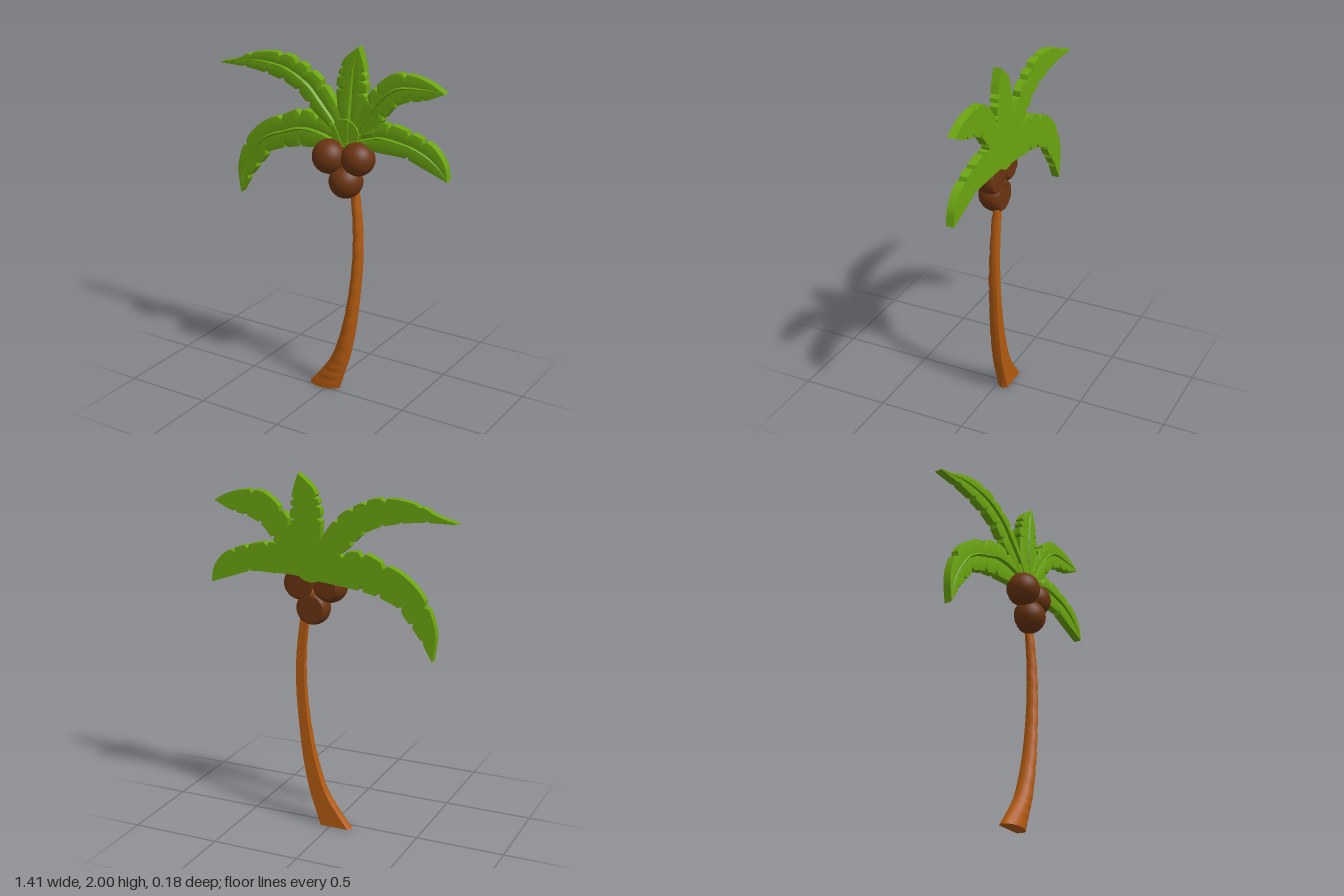
import * as THREE from 'three';
import { toCreasedNormals } from 'three/addons/utils/BufferGeometryUtils.js';

const mat = (name, color) => {
  const m = new THREE.MeshStandardMaterial({ color });
  m.name = name;
  return m;
};

// Closed skin over equal-length rings of [x, y, z], capped at both ends
function loft(rings, crease) {
  const n = rings[0].length, pos = rings.flat(2), idx = [];
  for (let i = 0; i < rings.length - 1; i++) {
    for (let j = 0; j < n; j++) {
      const a = i * n + j, b = i * n + (j + 1) % n;
      idx.push(a, b, b + n, a, b + n, a + n);
    }
  }
  const last = (rings.length - 1) * n;
  for (let j = 1; j < n - 1; j++) idx.push(0, j + 1, j, last, last + j, last + j + 1);
  // Turn the skin outward if its signed volume is negative
  const v = (i) => new THREE.Vector3().fromArray(pos, i * 3);
  let volume = 0;
  for (let i = 0; i < idx.length; i += 3) volume += v(idx[i]).dot(v(idx[i + 1]).cross(v(idx[i + 2])));
  if (volume < 0) idx.reverse();
  const g = new THREE.BufferGeometry();
  g.setAttribute('position', new THREE.Float32BufferAttribute(pos, 3));
  g.setIndex(idx);
  return toCreasedNormals(g, crease);
}

const curve = (pts) => new THREE.CatmullRomCurve3(pts.map(([x, y]) => new THREE.Vector3(x, y, 0)), false, 'centripetal');

// Flat-backed frond between two edges (base to tip), with torn notches and a raised midrib
function frondGeometry(upper, lower, upperNotches, lowerNotches) {
  const N = 50, up = curve(upper), low = curve(lower), rings = [];
  for (let i = 0; i <= N; i++) {
    const t = i / N, u = up.getPointAt(t), l = low.getPointAt(t);
    const mid = u.clone().lerp(l, 0.5);
    if (upperNotches.includes(i)) u.lerp(mid, 0.28);
    if (lowerNotches.includes(i)) l.lerp(mid, 0.28);
    const fade = 1 - t * t;
    const at = (p, k, z) => [mid.x + (p.x - mid.x) * k, mid.y + (p.y - mid.y) * k, z];
    rings.push([
      at(u, 1, -0.088), at(u, 1, -0.043), at(u, 0.55, -0.043 + 0.01 * fade), at(u, 0.1, -0.043 + 0.004 * fade),
      at(u, 0, -0.043 + 0.02 * fade),
      at(l, 0.1, -0.043 + 0.004 * fade), at(l, 0.55, -0.043 + 0.01 * fade), at(l, 1, -0.043), at(l, 1, -0.088),
    ]);
  }
  return loft(rings, 0.6);
}

const FRONDS = {
  upperRightFrond: [
    [[0.125, 1.45], [0.08, 1.6], [0.025, 1.69], [-0.055, 1.79], [-0.15, 1.855], [-0.26, 1.9], [-0.39, 1.905], [-0.52, 1.88], [-0.6, 1.84], [-0.71, 1.81]],
    [[0.06, 1.45], [0, 1.53], [-0.125, 1.635], [-0.19, 1.7], [-0.28, 1.75], [-0.415, 1.785], [-0.53, 1.8], [-0.71, 1.805]],
    [17, 22, 26, 31, 40], [16, 21, 27, 33, 41]],
  lowerRightFrond: [
    [[0.125, 1.47], [0.03, 1.54], [-0.09, 1.6], [-0.2, 1.61], [-0.32, 1.56], [-0.415, 1.52], [-0.52, 1.43], [-0.585, 1.315], [-0.61, 1.21], [-0.595, 1.065]],
    [[0.1, 1.435], [-0.1, 1.415], [-0.255, 1.39], [-0.4, 1.335], [-0.44, 1.285], [-0.525, 1.18], [-0.595, 1.065]],
    [11, 16, 22, 36], [17, 23, 31, 37, 43]],
  topFrond: [
    [[0.085, 1.47], [0.045, 1.68], [0.045, 1.82], [0.085, 1.925], [0.172, 2]],
    [[0.155, 1.46], [0.19, 1.6], [0.22, 1.765], [0.205, 1.895], [0.172, 2]],
    [26, 32, 36], [27, 33, 37]],
  upperLeftFrond: [
    [[0.1, 1.47], [0.165, 1.63], [0.23, 1.75], [0.3, 1.83], [0.38, 1.885], [0.485, 1.89], [0.59, 1.865], [0.675, 1.82]],
    [[0.14, 1.445], [0.245, 1.54], [0.31, 1.615], [0.38, 1.7], [0.46, 1.745], [0.565, 1.77], [0.675, 1.82]],
    [18, 23, 35], [20, 28, 35, 40]],
  lowerLeftFrond: [
    [[0.1, 1.51], [0.235, 1.57], [0.325, 1.615], [0.46, 1.595], [0.555, 1.565], [0.63, 1.525], [0.69, 1.445], [0.705, 1.36]],
    [[0.09, 1.43], [0.19, 1.45], [0.325, 1.45], [0.46, 1.445], [0.565, 1.41], [0.705, 1.36]],
    [13, 19, 27, 33], [30]],
};

// Half-round trunk: left edge, right edge, front depth by height
const TRUNK = [
  [0, -0.125, 0.07, 0.012], [0.1, -0.045, 0.1, 0.01], [0.2, 0.02, 0.13, 0.006], [0.4, 0.087, 0.168, 0],
  [0.6, 0.125, 0.19, -0.008], [0.8, 0.145, 0.205, -0.015], [1, 0.145, 0.202, -0.022], [1.2, 0.125, 0.178, -0.028], [1.38, 0.095, 0.15, -0.032],
];

function trunkGeometry() {
  const rings = [], edges = new THREE.CatmullRomCurve3(TRUNK.map(([y, l, , z]) => new THREE.Vector3(l, y, z)));
  const right = new THREE.CatmullRomCurve3(TRUNK.map(([y, , r, z]) => new THREE.Vector3(r, y, z)));
  const N = 56, back = -0.07;
  for (let i = 0; i <= N; i++) {
    const l = edges.getPoint(i / N), r = right.getPoint(i / N);
    const cx = (l.x + r.x) / 2, hw = (r.x - l.x) / 2;
    const depth = l.z - back + (i % 4 === 0 && i > 0 ? -0.004 : 0); // ring grooves
    const ring = [[cx - hw * 0.85, l.y, back], [cx + hw * 0.85, l.y, back]];
    for (let k = 0; k <= 10; k++) {
      const a = (k / 10) * Math.PI;
      ring.push([cx + hw * Math.cos(a), l.y, back + depth * (0.3 + 0.7 * Math.sin(a))]);
    }
    rings.push(ring);
  }
  return loft(rings, 0.7);
}

// Coconut with its back pressed flat
function coconutGeometry(x, y, z, r) {
  const g = new THREE.SphereGeometry(r, 28, 20).translate(x, y, z);
  const p = g.attributes.position;
  for (let i = 0; i < p.count; i++) p.setZ(i, Math.max(p.getZ(i), -0.08));
  return toCreasedNormals(g, 0.5);
}

export function createModel() {
  const leafGreen = mat('leafGreen', 0x6ba510);
  const barkBrown = mat('barkBrown', 0xb35a10);
  const coconutBrown = mat('coconutBrown', 0x6a3411);
  const model = new THREE.Group();
  model.name = 'palmTree';
  const add = (name, geometry, material) => {
    const m = new THREE.Mesh(geometry, material);
    m.name = name;
    model.add(m);
  };

  add('trunk', trunkGeometry(), barkBrown);
  for (const [name, args] of Object.entries(FRONDS)) add(name, frondGeometry(...args), leafGreen);

  // Small disc filling the crown where the fronds meet
  add('crown', new THREE.CylinderGeometry(0.085, 0.1, 0.06, 20).rotateX(Math.PI / 2).translate(0.1, 1.52, -0.058), leafGreen);

  add('rightCoconut', coconutGeometry(0.02, 1.395, -0.007, 0.095), coconutBrown);
  add('leftCoconut', coconutGeometry(0.182, 1.4, -0.035, 0.093), coconutBrown);
  add('lowerCoconut', coconutGeometry(0.112, 1.265, -0.027, 0.094), coconutBrown);
  return model;
}
